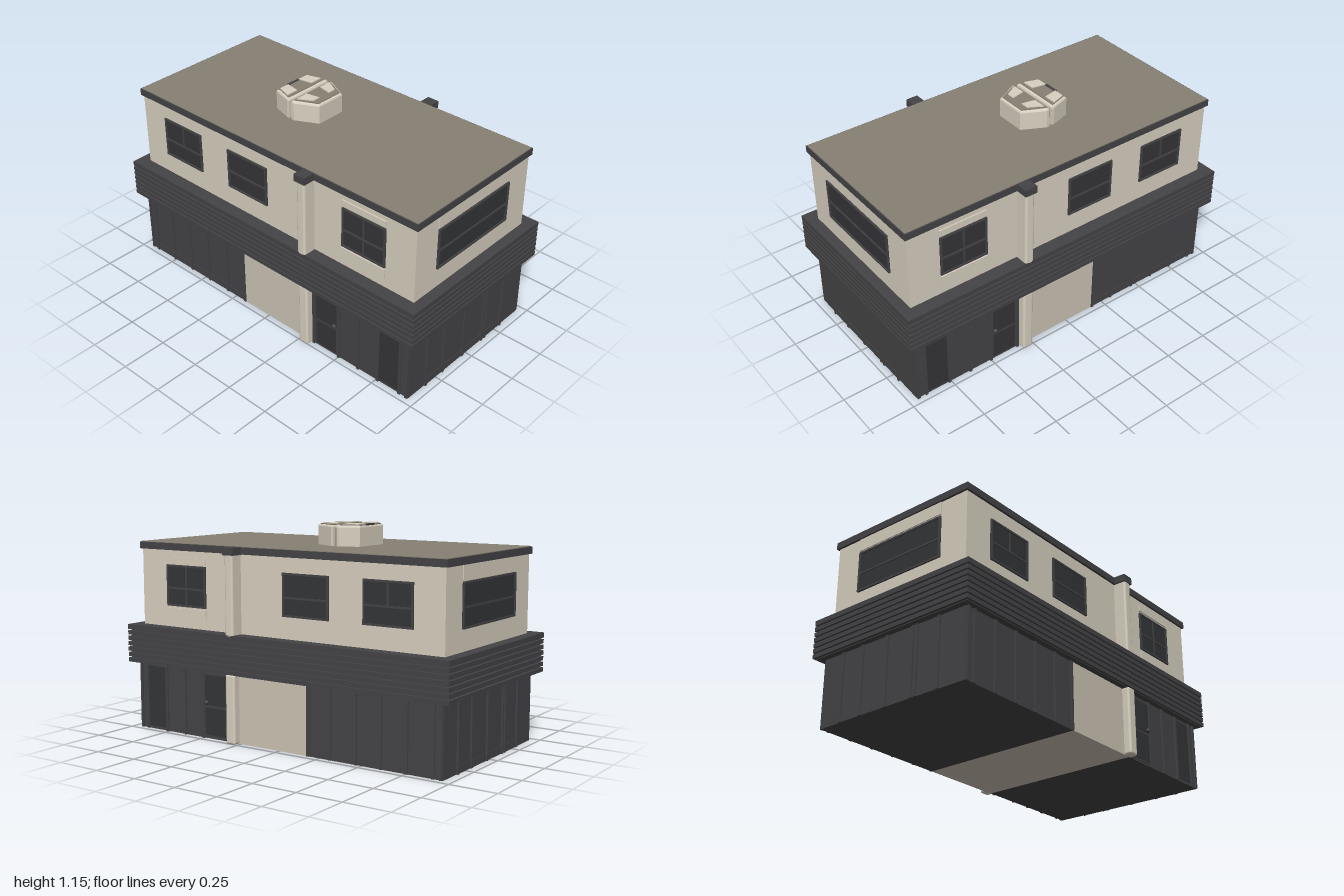
import * as THREE from 'three';
import { RoundedBoxGeometry } from 'three/addons/geometries/RoundedBoxGeometry.js';

export function createModel() {
  const model = new THREE.Group();
  model.name = 'twoStoreyBuilding';
  const mat = (name, color) => {
    const m = new THREE.MeshStandardMaterial({ color });
    m.name = name;
    return m;
  };
  const cream = mat('cream render', 0xd8d0c0);
  const stone = mat('pale panel', 0xccc4b4);
  const dark = mat('charcoal cladding', 0x444446);
  const glass = mat('dark glass', 0x343537);
  const taupe = mat('taupe roofing', 0x878072);

  const add = (parent, name, geo, material, x = 0, y = 0, z = 0) => {
    const m = new THREE.Mesh(geo, material);
    m.name = name;
    m.position.set(x, y, z);
    parent.add(m);
    return m;
  };
  // box given by its minimum and maximum on each axis
  const span = (parent, name, material, x0, x1, y0, y1, z0, z1) =>
    add(parent, name, new THREE.BoxGeometry(x1 - x0, y1 - y0, z1 - z0), material,
      (x0 + x1) / 2, (y0 + y1) / 2, (z0 + z1) / 2);
  // wall frame: local x runs along the wall, local z points outward
  const facade = (name, angle) => {
    const g = new THREE.Group();
    g.name = name;
    g.rotation.y = angle;
    model.add(g);
    return g;
  };

  // ground floor: two dark blocks with a pale middle section
  span(model, 'frontGroundBlock', dark, -0.463, 0.463, 0, 0.37, 0.3, 0.955);
  span(model, 'rearGroundBlock', dark, -0.463, 0.463, 0, 0.37, -0.952, -0.175);
  span(model, 'middleGroundBlock', stone, -0.466, 0.466, 0, 0.37, -0.175, 0.3);

  // slatted band between the floors
  span(model, 'bandCore', dark, -0.497, 0.497, 0.365, 0.572, -0.985, 0.985);
  const slats = 7, pitch = 0.21 / slats;
  for (let i = 0; i < slats; i++) {
    const y = 0.365 + i * pitch;
    span(model, 'bandSlat', dark, -0.51, 0.51, y + 0.004, y + pitch - 0.004, -1, 1);
  }
  span(model, 'bandTop', dark, -0.51, 0.51, 0.562, 0.576, -1, 1);

  // upper floor and roof
  span(model, 'upperWalls', cream, -0.438, 0.438, 0.57, 0.995, -0.938, 0.942);
  span(model, 'roofEdge', dark, -0.45, 0.45, 0.99, 1.027, -0.95, 0.954);
  span(model, 'roofSurface', taupe, -0.445, 0.445, 1.025, 1.03, -0.945, 0.949);

  // window: glass, border and glazing bars at local centre u
  const windowAt = (wall, u, d, w, y0, y1, bars) => {
    const a = u - w / 2, b = u + w / 2, t = 0.01;
    span(wall, 'windowGlass', glass, a, b, y0, y1, d - 0.004, d + 0.003);
    for (const y of [y0, y1 - t]) span(wall, 'windowFrame', dark, a, b, y, y + t, d, d + 0.009);
    for (const x of [a, b - t]) span(wall, 'windowFrame', dark, x, x + t, y0 + t, y1 - t, d, d + 0.009);
    span(wall, 'windowCrossbar', dark, a + t, b - t, 0.782, 0.792, d, d + 0.008);
    if (bars !== 'none') {
      span(wall, 'windowMullion', dark, u - 0.005, u + 0.005,
        bars === 'upper' ? 0.792 : y0 + t, y1 - t, d, d + 0.007);
    }
  };
  const rib = (wall, u, d) => span(wall, 'claddingRib', dark, u - 0.007, u + 0.007, 0, 0.366, d - 0.002, d + 0.009);
  const kick = (wall, a, b, d) => span(wall, 'kickPlate', dark, a, b, 0, 0.04, d - 0.002, d + 0.003);

  // front and back walls
  for (const [name, angle, up, low] of [['frontWall', 0, 0.942, 0.955], ['backWall', Math.PI, 0.938, 0.952]]) {
    const wall = facade(name, angle);
    windowAt(wall, -0.002, up, 0.556, 0.685, 0.91, 'none');
    span(wall, 'windowLintel', cream, -0.28, 0.276, 0.92, 0.988, up - 0.002, up + 0.006);
    for (const u of [-0.33, -0.195, -0.03, 0.135, 0.163, 0.3]) rib(wall, u, low);
    kick(wall, -0.33, 0.3, low);
  }

  // side walls, mirrored; k turns a z position into a local x position
  for (const s of [1, -1]) {
    const wall = facade(s > 0 ? 'leftWall' : 'rightWall', s * Math.PI / 2);
    const k = (z) => -s * z;
    const strip = (name, material, z0, z1, y0, y1, d0, d1) =>
      span(wall, name, material, Math.min(k(z0), k(z1)), Math.max(k(z0), k(z1)), y0, y1, d0, d1);

    windowAt(wall, k(0.63), 0.438, 0.27, 0.69, 0.912, 'full');
    windowAt(wall, k(-0.15), 0.438, 0.28, 0.69, 0.912, 'none');
    windowAt(wall, k(-0.63), 0.438, 0.28, 0.69, 0.912, 'upper');
    strip('windowLintel', cream, 0.495, 0.765, 0.925, 0.955, 0.436, 0.445);
    strip('windowSill', cream, 0.495, 0.765, 0.63, 0.68, 0.436, 0.445);

    for (const z of [0.945, 0.9, 0.76, 0.63, 0.5, 0.33, -0.182, -0.315, -0.465, -0.61, -0.755, -0.9, -0.942]) {
      rib(wall, k(z), 0.463);
    }
    kick(wall, Math.min(k(-0.19), k(-0.94)), Math.max(k(-0.19), k(-0.94)), 0.463);
    strip('sidePane', glass, 0.767, 0.89, 0.015, 0.35, 0.461, 0.466);

    // side door with two panes and a handle
    strip('doorLeaf', dark, 0.34, 0.493, 0.01, 0.355, 0.461, 0.468);
    strip('doorUpperPane', glass, 0.35, 0.485, 0.183, 0.345, 0.466, 0.471);
    strip('doorLowerPane', glass, 0.35, 0.485, 0.02, 0.168, 0.466, 0.471);
    add(wall, 'doorHandle', new THREE.SphereGeometry(0.012, 10, 8), dark, k(0.475), 0.195, 0.474);

    // full-height pilaster with a roof cap
    add(wall, 'lowerPilaster', new RoundedBoxGeometry(0.06, 0.37, 0.075, 3, 0.012), cream, k(0.288), 0.185, 0.469);
    add(wall, 'upperPilaster', new RoundedBoxGeometry(0.052, 0.44, 0.09, 3, 0.012), cream, k(0.286), 0.78, 0.465);
    strip('pilasterCap', dark, 0.25, 0.318, 0.988, 1.028, 0.42, 0.515);
  }

  // prism from a plan outline of [x, z] points
  const prism = (name, material, pts, y0, y1, bevel = 0) => {
    const shape = new THREE.Shape(pts.map(([x, z]) => new THREE.Vector2(x, -z)));
    const geo = new THREE.ExtrudeGeometry(shape, {
      depth: y1 - y0 - bevel, bevelEnabled: bevel > 0, bevelSegments: 2,
      bevelSize: bevel, bevelThickness: bevel, bevelOffset: -bevel,
    });
    geo.rotateX(-Math.PI / 2);
    add(chimney, name, geo, material, 0, y0, 0);
  };

  // rooftop vent: two tapered halves, each with a plate and two pads
  const chimney = new THREE.Group();
  chimney.name = 'roofVent';
  model.add(chimney);
  prism('ventRear', cream, [[-0.112, -0.255], [0.112, -0.255], [0.145, -0.15], [0.145, -0.133], [-0.145, -0.133], [-0.145, -0.15]], 1.02, 1.137, 0.01);
  prism('ventFront', cream, [[-0.147, -0.118], [0.147, -0.118], [0.147, -0.1], [0.085, 0.022], [-0.085, 0.022], [-0.147, -0.1]], 1.02, 1.137, 0.01);
  span(chimney, 'ventGap', taupe, -0.13, 0.13, 1.03, 1.12, -0.14, -0.11);
  prism('ventRearPlate', taupe, [[-0.1, -0.248], [0.1, -0.248], [0.132, -0.148], [-0.132, -0.148]], 1.13, 1.141);
  prism('ventFrontPlate', taupe, [[-0.135, -0.108], [0.135, -0.108], [0.08, 0.01], [-0.08, 0.01]], 1.13, 1.141);
  span(chimney, 'ventSlot', dark, -0.04, 0.04, 1.135, 1.144, -0.25, -0.235);
  for (const s of [1, -1]) {
    const side = (pts) => (s > 0 ? pts : pts.map(([x, z]) => [-x, z]));
    prism('ventRearPad', cream, side([[0.04, -0.24], [0.1, -0.24], [0.125, -0.163], [0.055, -0.163]]), 1.13, 1.146);
    prism('ventFrontPad', cream, side([[0.05, -0.1], [0.122, -0.1], [0.08, -0.025], [0.035, -0.025]]), 1.13, 1.146);
  }
  return model;
}
